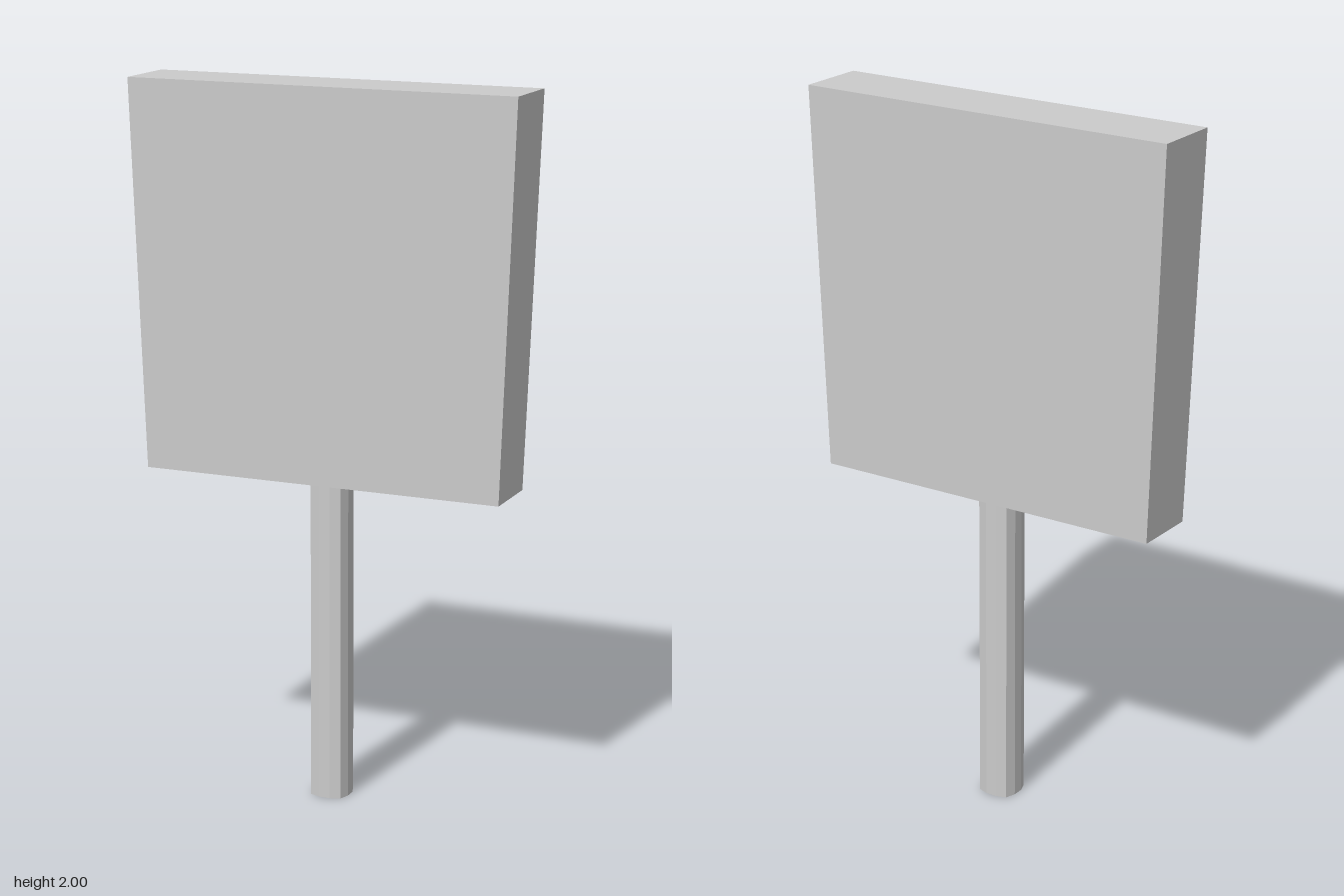
import * as THREE from 'three';

const HANDLE_TOP = 0.915;

export function createModel() {
  const model = new THREE.Group();
  const material = new THREE.MeshStandardMaterial({ color: 0xcccccc, flatShading: true });

  // Flat head: a box whose lower end is slightly narrower
  const headHeight = 2 - HANDLE_TOP;
  const headGeometry = new THREE.BoxGeometry(1.12, headHeight, 0.2);
  const p = headGeometry.attributes.position;
  for (let i = 0; i < p.count; i++) {
    if (p.getY(i) < 0) {
      p.setX(i, p.getX(i) * 0.93);
      p.setZ(i, p.getZ(i) * 0.93);
    }
  }
  headGeometry.computeVertexNormals();
  const head = new THREE.Mesh(headGeometry, material);
  head.name = 'head';
  head.position.y = HANDLE_TOP + headHeight / 2;
  model.add(head);

  // Handle: a square bar with bulging sides, three points per quarter turn
  const outline = [];
  for (let q = 0; q < 4; q++) {
    for (const [x, y] of [[0.055, -0.016], [0.055, 0.016], [0.045, 0.045]]) {
      outline.push(new THREE.Vector2(x, y).rotateAround(new THREE.Vector2(), q * Math.PI / 2));
    }
  }
  const handleGeometry = new THREE.ExtrudeGeometry(new THREE.Shape(outline), {
    depth: HANDLE_TOP, bevelEnabled: false,
  });
  handleGeometry.rotateX(-Math.PI / 2);
  const handle = new THREE.Mesh(handleGeometry, material);
  handle.name = 'handle';
  model.add(handle);

  return model;
}
